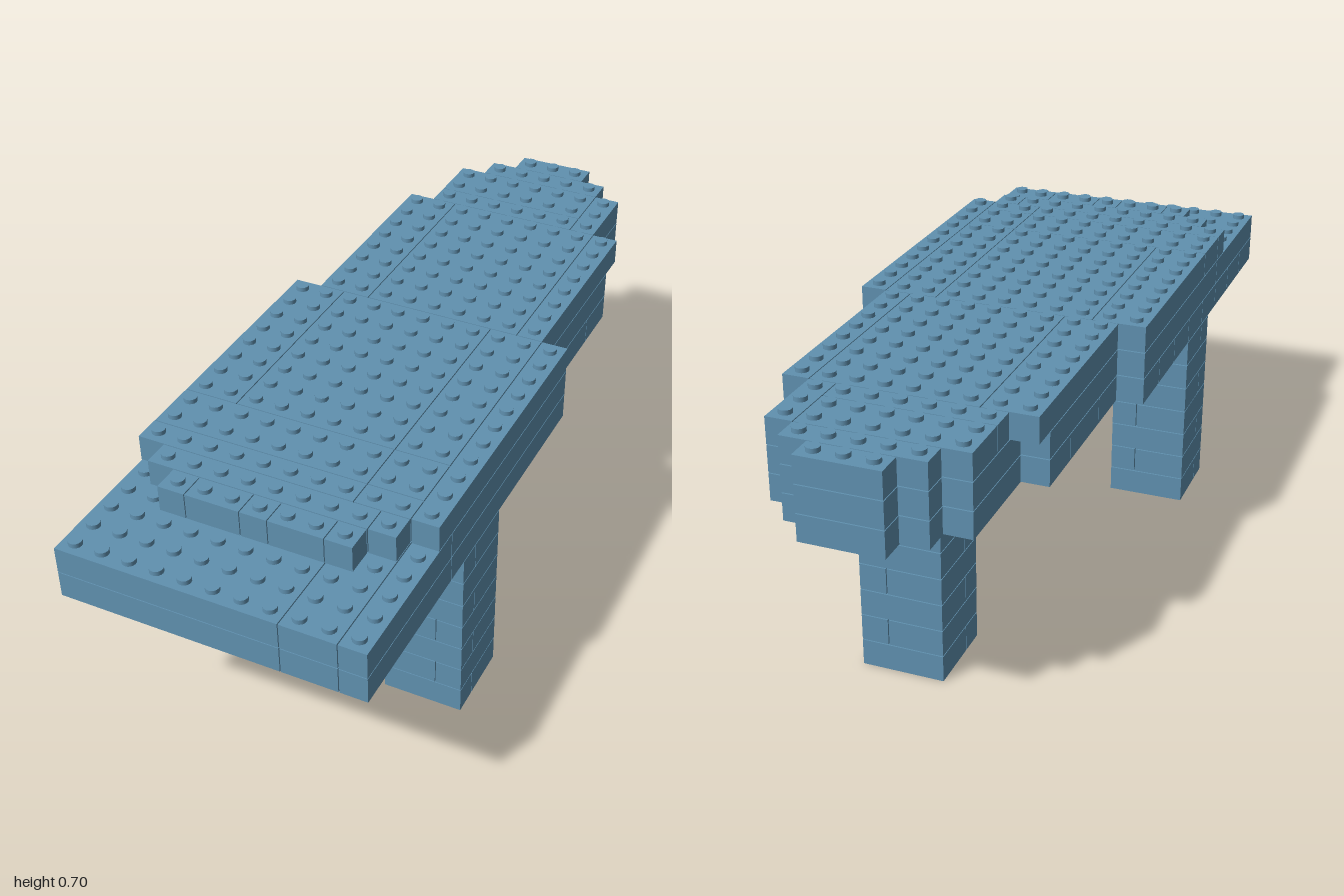
import * as THREE from 'three';
import { mergeGeometries } from 'three/addons/utils/BufferGeometryUtils.js';

const P = 2 / 29;      // stud pitch, also the layer height
const GAP = 0.0024;    // seam between neighbouring bricks
const COLS = 11, ROWS = 29;
const STUD_R = 0.0165, STUD_H = 0.0115;

const blue = new THREE.MeshStandardMaterial({ color: 0x6091b0 });
blue.name = 'greyBlue';

const gridX = (i) => (i - COLS / 2) * P;
const gridZ = (k) => (k - ROWS / 2) * P;

// One brick: first column, columns wide, first row, rows deep
function brick([i, w, k, d], layer) {
  const g = new THREE.BoxGeometry(w * P - GAP, P - GAP, d * P - GAP);
  return g.translate(gridX(i + w / 2), layer * P + (P - GAP) / 2, gridZ(k + d / 2));
}

function stud(i, k, layer) {
  const g = new THREE.CylinderGeometry(STUD_R, STUD_R, STUD_H, 16);
  return g.translate(gridX(i + 0.5), (layer + 1) * P - GAP + STUD_H / 2, gridZ(k + 0.5));
}

function part(name, geometries) {
  const mesh = new THREE.Mesh(mergeGeometries(geometries), blue);
  mesh.name = name;
  return mesh;
}

const covers = (bricks, i, k) =>
  bricks.some(([a, w, b, d]) => i >= a && i < a + w && k >= b && k < b + d);

// Stepped back end of the two lower tabletop layers
const tail = [[4, 3, 0, 1], [3, 5, 1, 1], [2, 7, 2, 4]];

const lower = [
  ...tail,
  [1, 9, 6, 2], [1, 9, 8, 3], [1, 9, 11, 2],
  [10, 1, 13, 10],
  [0, 8, 23, 2], [0, 8, 25, 2], [0, 8, 27, 2], [8, 2, 23, 6], [10, 1, 23, 6],
];
for (let k = 13; k < 23; k += 2) lower.push([0, 8, k, 2], [8, 2, k, 2]);

const middle = [
  ...tail,
  [1, 2, 6, 7], [3, 6, 6, 7], [9, 1, 6, 6], [9, 1, 12, 1],
  [0, 8, 13, 10], [8, 2, 13, 10], [10, 1, 13, 10],
  [0, 8, 23, 6], [8, 2, 23, 6], [10, 1, 23, 6],
];

const upper = [
  [4, 3, 0, 1], [3, 5, 1, 1],
  [2, 6, 2, 2], [2, 6, 4, 1], [8, 1, 2, 3],
  [1, 2, 5, 8], [3, 6, 5, 8], [9, 1, 5, 8],
  [0, 2, 13, 8], [2, 6, 13, 8], [8, 2, 13, 8], [10, 1, 13, 11],
  [0, 8, 21, 2], [8, 2, 21, 2], [0, 8, 23, 1], [8, 2, 23, 1],
  [1, 8, 24, 1], [9, 1, 24, 1],
  [2, 1, 25, 1], [3, 2, 25, 1], [5, 1, 25, 1], [6, 2, 25, 1], [8, 1, 25, 1],
];

// Leg of 3 x 3 studs, the split turning in every layer
function leg(name, i, k) {
  const bricks = [];
  for (let layer = 0; layer < 7; layer++) {
    const pair = layer % 2
      ? [[i, 2, k, 3], [i + 2, 1, k, 3]]
      : [[i, 3, k, 2], [i, 3, k + 2, 1]];
    bricks.push(...pair.map((b) => brick(b, layer)));
  }
  return part(name, bricks);
}

export function createModel() {
  const model = new THREE.Group();
  model.name = 'brickTable';

  model.add(leg('frontRightLeg', 0, 19), leg('frontLeftLeg', 8, 19), leg('backLeg', 4, 4));

  model.add(
    part('lowerTabletop', lower.map((b) => brick(b, 7))),
    part('middleTabletop', middle.map((b) => brick(b, 8))),
    part('upperTabletop', upper.map((b) => brick(b, 9))),
  );

  // Studs on the top layer and on the exposed front ledge
  const topStuds = [], ledgeStuds = [];
  for (let k = 0; k < ROWS; k++) {
    for (let i = 0; i < COLS; i++) {
      if (covers(upper, i, k)) topStuds.push(stud(i, k, 9));
      else if (covers(middle, i, k)) ledgeStuds.push(stud(i, k, 8));
    }
  }
  model.add(part('topStuds', topStuds), part('ledgeStuds', ledgeStuds));
  return model;
}
